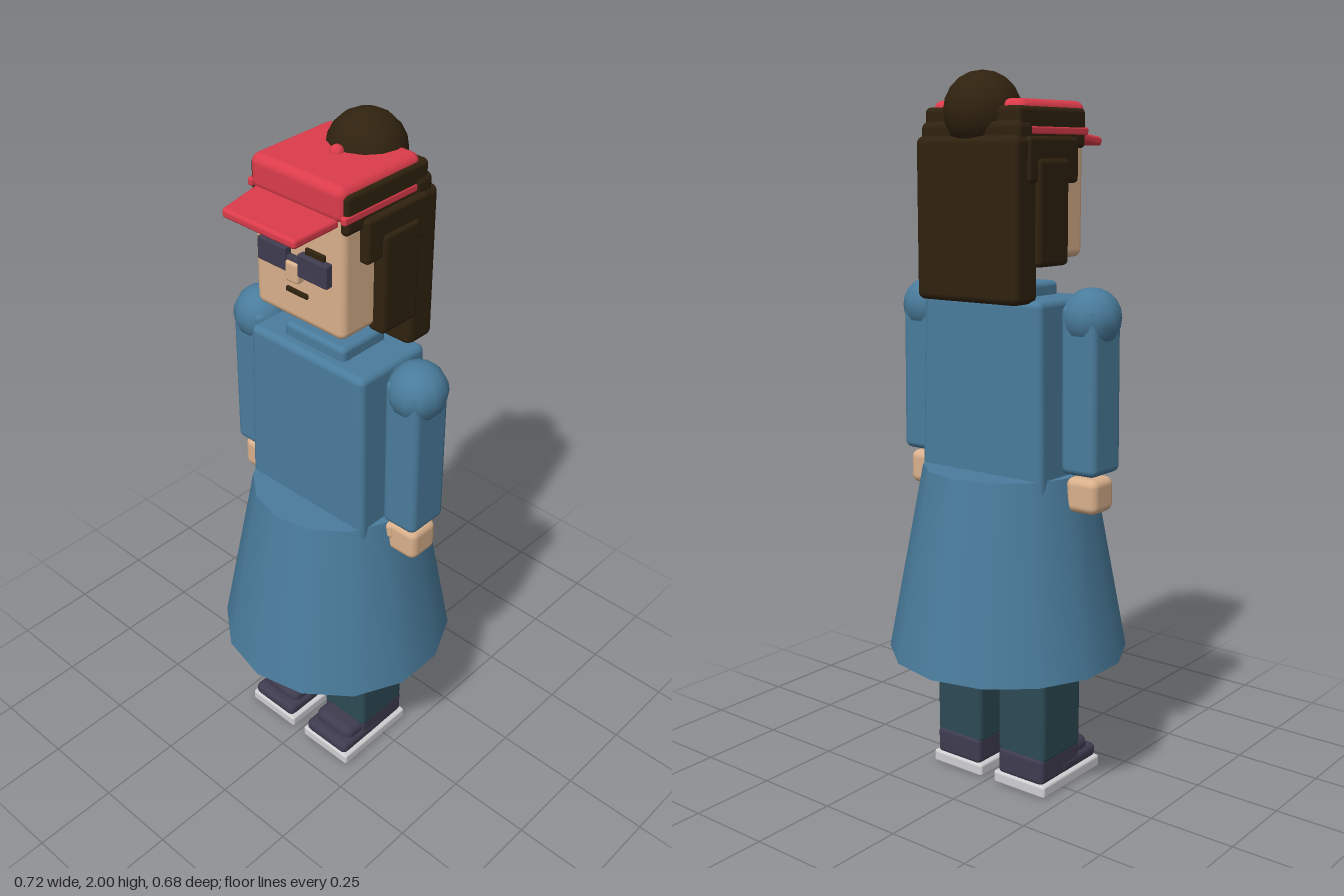
import * as THREE from 'three';
import { RoundedBoxGeometry } from 'three/addons/geometries/RoundedBoxGeometry.js';

const paint = (name, color) => {
  const m = new THREE.MeshStandardMaterial({ color });
  m.name = name;
  return m;
};

export function createModel() {
  const blue = paint('coat blue', 0x4a7c9c);
  const skin = paint('skin', 0xd9b08c);
  const brown = paint('dark brown hair', 0x30220f);
  const red = paint('cap red', 0xdc3c4b);
  const teal = paint('trouser teal', 0x2d4a54);
  const slate = paint('slate', 0x3f3c50);
  const white = paint('sole grey white', 0xcfcfd2);
  const model = new THREE.Group();

  const add = (name, geometry, material, parent = model) => {
    const mesh = new THREE.Mesh(geometry, material);
    mesh.name = name;
    parent.add(mesh);
    return mesh;
  };
  // Rounded box given by its limits on each axis
  const box = (name, material, [x0, x1], [y0, y1], [z0, z1], r = 0.015, parent = model) => {
    const w = x1 - x0, h = y1 - y0, d = z1 - z0;
    const g = new RoundedBoxGeometry(w, h, d, 3, Math.min(r, w * 0.45, h * 0.45, d * 0.45));
    const mesh = add(name, g, material, parent);
    mesh.position.set((x0 + x1) / 2, (y0 + y1) / 2, (z0 + z1) / 2);
    return mesh;
  };

  // Coat: flared skirt, slightly tapered torso and collar
  add('skirt', new THREE.CylinderGeometry(0.24, 0.342, 0.54, 14), blue).position.y = 0.66;
  const torso = box('torso', blue, [-0.207, 0.207], [0.86, 1.41], [-0.127, 0.127], 0.02);
  const p = torso.geometry.attributes.position;
  for (let i = 0; i < p.count; i++) {
    const s = 1 - p.getY(i) * 0.1;
    p.setX(i, p.getX(i) * s);
    p.setZ(i, p.getZ(i) * s);
  }
  box('collar', blue, [-0.107, 0.107], [1.38, 1.447], [-0.075, 0.09]);

  for (const side of [-1, 1]) {
    const tag = side > 0 ? 'left' : 'right';
    const span = (a, b) => (side > 0 ? [a, b] : [-b, -a]);

    // Arm, shoulder, hand and thumb
    const shoulder = add(tag + 'Shoulder', new THREE.SphereGeometry(0.081, 12, 10), blue);
    shoulder.position.set(side * 0.281, 1.363, 0);
    shoulder.rotation.y = Math.PI / 12;
    const arm = box(tag + 'Arm', blue, span(0.224, 0.336), [0.945, 1.4], [-0.066, 0.066], 0.02);
    arm.rotation.z = side * 0.01;
    box(tag + 'Hand', skin, span(0.23, 0.33), [0.838, 0.935], [-0.05, 0.05], 0.022);
    box(tag + 'Thumb', skin, span(0.198, 0.255), [0.88, 0.928], [0.01, 0.055], 0.012);

    // Leg and shoe
    box(tag + 'Leg', teal, span(0.032, 0.196), [0.1, 0.62], [-0.09, 0.092], 0.015);
    box(tag + 'Sole', white, span(0.022, 0.205), [0.003, 0.04], [-0.098, 0.178], 0.008);
    box(tag + 'ShoeToe', slate, span(0.032, 0.196), [0.035, 0.078], [0, 0.176], 0.018);
    box(tag + 'ShoeTop', slate, span(0.042, 0.187), [0.045, 0.112], [0, 0.148], 0.025);
    box(tag + 'ShoeHeel', slate, span(0.034, 0.194), [0.035, 0.117], [-0.094, 0.09], 0.015);

    // Hair at the side of the face
    box(tag + 'SideHair', brown, span(0.13, 0.186), [1.495, 1.775], [-0.105, 0.03], 0.015);
    box(tag + 'TempleHair', brown, span(0.13, 0.178), [1.71, 1.83], [-0.14, 0.082], 0.012);

    // Sunglass lens and brow
    box(tag + 'Lens', slate, span(0.02, 0.118), [1.657, 1.72], [0.13, 0.163], 0.004);
    box(tag + 'Brow', brown, span(0.033, 0.098), [1.714, 1.736], [0.13, 0.15], 0.004);

    // Cap band at the side
    box(tag + 'CapBand', red, span(0.145, 0.163), [1.834, 1.856], [-0.13, 0.146], 0.006);
  }

  // Head and face
  box('neck', skin, [-0.07, 0.07], [1.485, 1.56], [-0.07, 0.072], 0.01);
  box('head', skin, [-0.152, 0.152], [1.51, 1.86], [-0.14, 0.142], 0.022);
  box('nose', skin, [-0.022, 0.022], [1.633, 1.69], [0.12, 0.165], 0.008);
  box('mouth', brown, [-0.037, 0.037], [1.59, 1.605], [0.135, 0.148], 0.004);
  box('glassesBridge', slate, [-0.03, 0.03], [1.68, 1.7], [0.13, 0.158], 0.004);

  // Hair: long back panel, crown and bun
  box('backHair', brown, [-0.172, 0.172], [1.4, 1.832], [-0.187, -0.088], 0.02);
  box('upperBackHair', brown, [-0.166, 0.166], [1.7, 1.87], [-0.172, -0.1], 0.02);
  box('crownHair', brown, [-0.161, 0.161], [1.8, 1.906], [-0.158, 0.138], 0.014);
  const bun = add('hairBun', new THREE.SphereGeometry(0.106, 14, 10), brown);
  bun.position.set(0, 1.894, -0.107);

  // Cap: crown, button and tapered brim
  box('capCrown', red, [-0.153, 0.153], [1.83, 1.925], [-0.14, 0.15], 0.025);
  add('capButton', new THREE.SphereGeometry(0.019, 12, 8), red).position.set(0, 1.923, 0);
  const brim = box('capBrim', red, [-0.136, 0.136], [1.818, 1.843], [0.12, 0.272], 0.009);
  const b = brim.geometry.attributes.position;
  for (let i = 0; i < b.count; i++) {
    const t = b.getZ(i) / 0.152 + 0.5;
    b.setX(i, b.getX(i) * (1.02 - 0.13 * t));
    b.setY(i, b.getY(i) + 0.004 - 0.014 * t);
  }
  return model;
}
